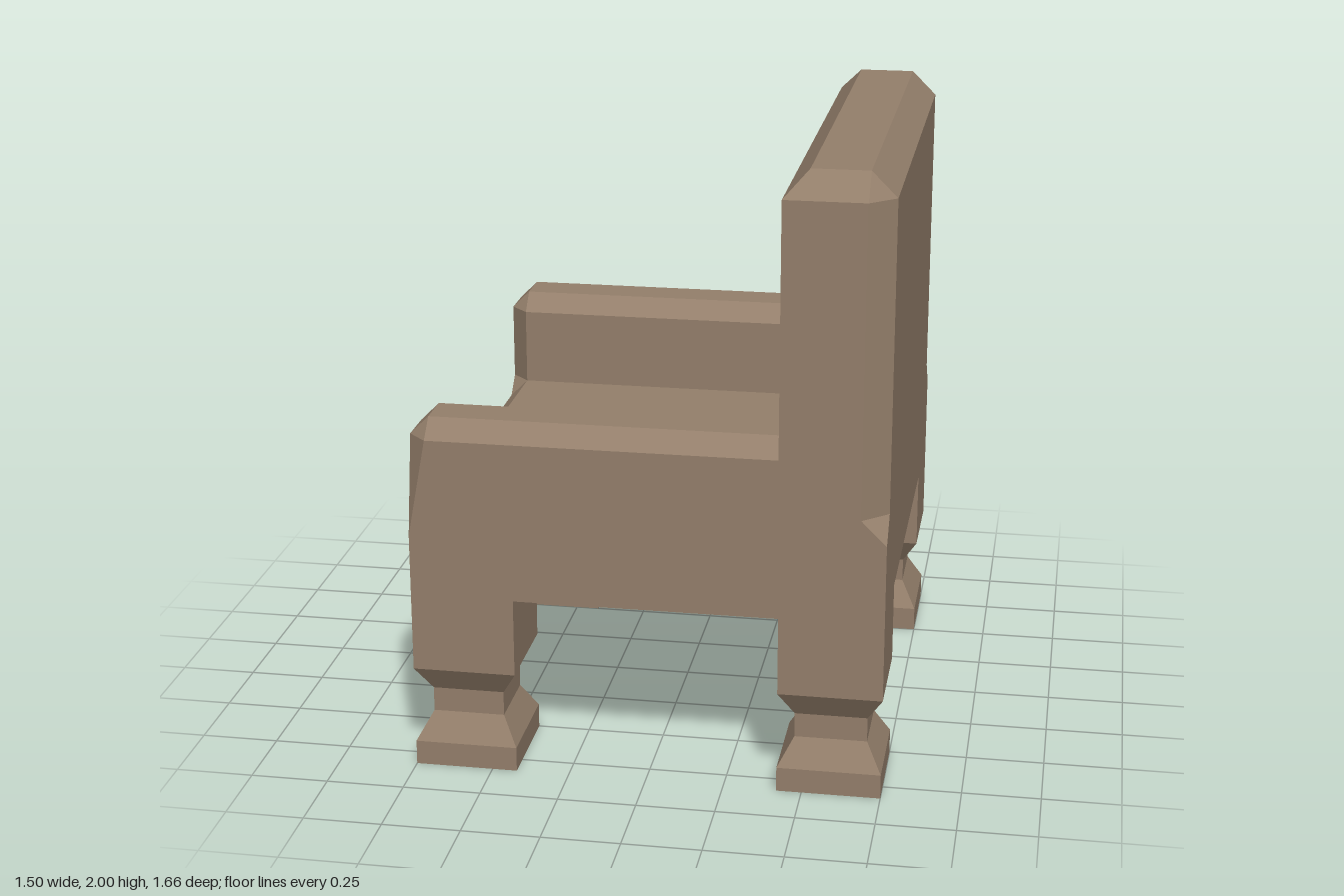
import * as THREE from 'three';

const material = new THREE.MeshStandardMaterial({ color: 0x947f6b, flatShading: true });

// Faceted loft through sections { t, pts: [[a, b], ...] } (counter-clockwise, t rising);
// place(a, b, t) must keep a right-handed order. Repeated points collapse a quad to a triangle.
function loft(name, sections, place) {
  const rings = sections.map(({ t, pts }) => pts.map(([a, b]) => place(a, b, t)));
  const pos = [];
  const tri = (a, b, c) => {
    const area = b.clone().sub(a).cross(c.clone().sub(a)).length();
    if (area > 1e-7) for (const v of [a, b, c]) pos.push(v.x, v.y, v.z);
  };
  for (let k = 0; k + 1 < rings.length; k++) {
    const p = rings[k], q = rings[k + 1];
    for (let i = 0; i < p.length; i++) {
      const j = (i + 1) % p.length;
      tri(p[i], p[j], q[j]);
      tri(p[i], q[j], q[i]);
    }
  }
  const cap = (k, flip) => {
    const outline = sections[k].pts.map(([a, b]) => new THREE.Vector2(a, b));
    for (const [a, b, c] of THREE.ShapeUtils.triangulateShape(outline, [])) {
      const r = rings[k];
      if (flip) tri(r[a], r[c], r[b]);
      else tri(r[a], r[b], r[c]);
    }
  };
  cap(0, true);
  cap(rings.length - 1, false);

  const geometry = new THREE.BufferGeometry();
  geometry.setAttribute('position', new THREE.Float32BufferAttribute(pos, 3));
  geometry.computeVertexNormals();
  const mesh = new THREE.Mesh(geometry, material);
  mesh.name = name;
  return mesh;
}

const alongX = (y, z, x) => new THREE.Vector3(x, y, z);
const alongY = (z, x, y) => new THREE.Vector3(x, y, z);

// Seat and arms: one U-shaped section, bevelled at the front
function makeSeat() {
  const mirror = (half) => [...half, ...half.map(([y, z]) => [y, -z]).reverse()].reverse();
  const front = mirror([
    [0.59, 0.83], [0.79, 0.83], [0.79, 0.83], [1.11, 0.77], [1.11, 0.77],
    [1.11, 0.64], [1.11, 0.64], [0.85, 0.64], [0.79, 0.58],
  ]);
  const full = mirror([
    [0.59, 0.83], [0.79, 0.83], [1.11, 0.83], [1.11, 0.83], [1.17, 0.77],
    [1.17, 0.64], [1.11, 0.58], [0.85, 0.58], [0.85, 0.58],
  ]);
  return loft('seatAndArms', [
    { t: -0.75, pts: front },
    { t: -0.69, pts: full },
    { t: 0.415, pts: full },
  ], alongX);
}

// Backrest: rear corners cut above the seat, all top edges bevelled
function makeBackrest() {
  const mirror = (half) => [...half, ...half.map(([z, x]) => [-z, x]).reverse()];
  const square = mirror([[0.83, 0.415], [0.83, 0.75], [0.83, 0.75]]);
  const cut = mirror([[0.83, 0.415], [0.83, 0.67], [0.755, 0.75]]);
  const top = mirror([[0.755, 0.49], [0.755, 0.67], [0.755, 0.67]]);
  return loft('backrest', [
    { t: 0.59, pts: square },
    { t: 0.85, pts: square },
    { t: 0.93, pts: cut },
    { t: 1.92, pts: cut },
    { t: 2, pts: top },
  ], alongY);
}

// Square leg with a narrow neck above the foot
function makeLeg(x, z) {
  const profile = [[0, 0.165], [0.08, 0.165], [0.17, 0.115], [0.25, 0.115], [0.335, 0.165], [0.59, 0.165]];
  const leg = loft('leg', profile.map(([t, h]) => ({
    t, pts: [[h, -h], [h, h], [-h, h], [-h, -h]],
  })), alongY);
  leg.position.set(x, 0, z);
  return leg;
}

export function createModel() {
  const chair = new THREE.Group();
  chair.name = 'armchair';
  chair.add(makeSeat(), makeBackrest());
  for (const sx of [-1, 1]) {
    for (const sz of [-1, 1]) chair.add(makeLeg(sx * 0.585, sz * 0.665));
  }
  return chair;
}
